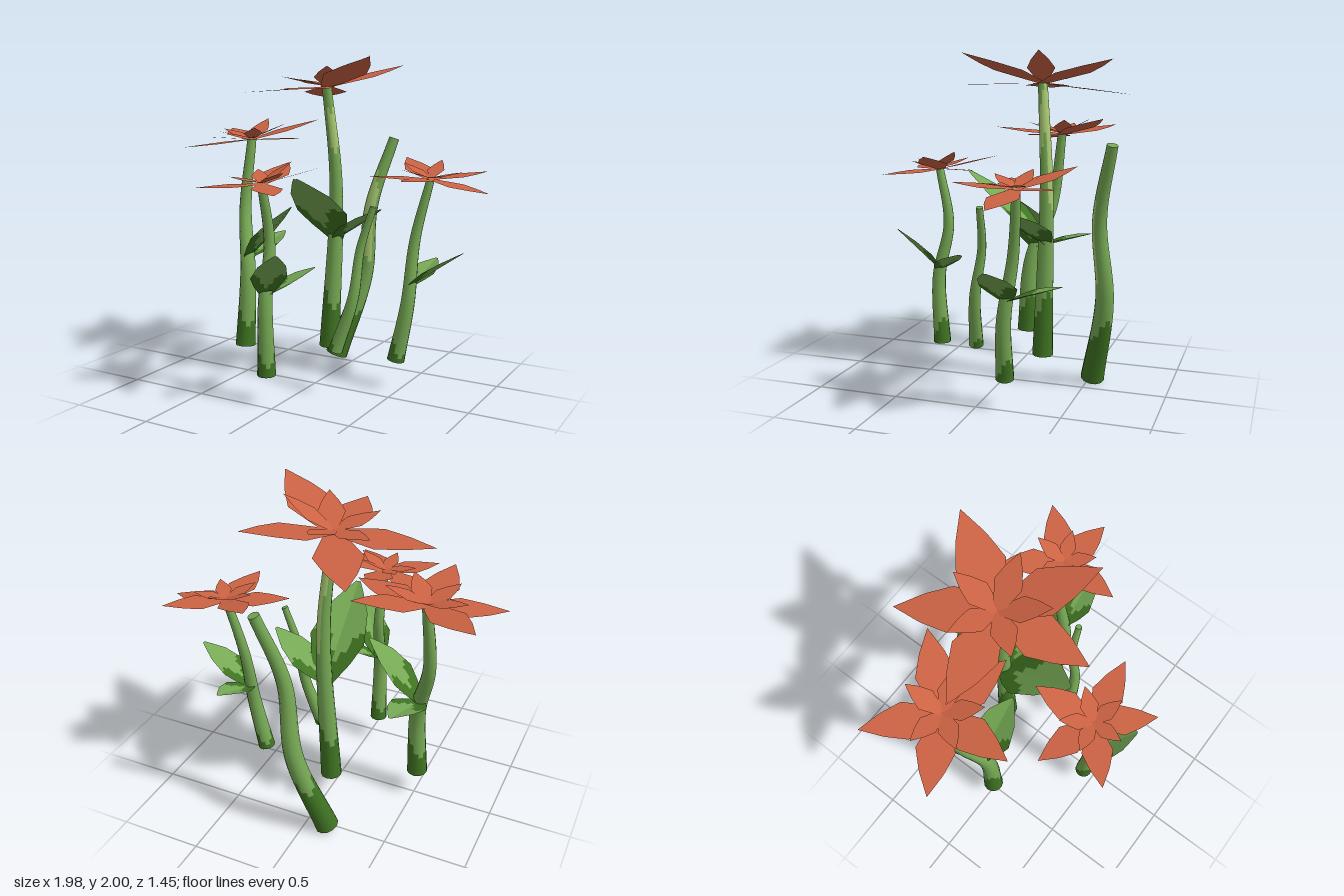
import * as THREE from 'three';

const V = (a) => new THREE.Vector3(...a);
const mat = (name, color) => {
  const m = new THREE.MeshStandardMaterial({ color, side: THREE.DoubleSide });
  m.name = name;
  return m;
};

// Surface through rows of points; pick(i, j) gives the material index of a quad
function sheet(rows, wrap, pick, flat) {
  const n = rows[0].length, quads = [[], [], []];
  for (let i = 0; i < rows.length - 1; i++)
    for (let j = 0; j < (wrap ? n : n - 1); j++) {
      const k = (j + 1) % n, a = i * n + j, b = i * n + k;
      quads[pick(i, j)].push(a, b, b + n, a, b + n, a + n);
    }
  let g = new THREE.BufferGeometry().setFromPoints(rows.flat());
  g.setIndex(quads.flat());
  let start = 0;
  quads.forEach((q, m) => {
    if (q.length) g.addGroup(start, q.length, m);
    start += q.length;
  });
  if (flat) g = g.toNonIndexed();
  g.computeVertexNormals();
  return g;
}

// Ragged edge of the painted zones
const jag = (j) => Math.round(1.6 * Math.sin(j * Math.PI / 3 + 0.4));

// Tapered, capped stem with a dark foot and pale patches [height, half height, first side, sides]
function stemGeometry(curve, radius, foot, patches) {
  const N = 40, S = 12;
  const ring = (t, r) => {
    const p = curve.getPointAt(t), T = curve.getTangentAt(t);
    const u = new THREE.Vector3(1, 0, 0).addScaledVector(T, -T.x).normalize();
    const w = T.clone().cross(u);
    return Array.from({ length: S }, (_, j) => {
      const a = (j / S) * Math.PI * 2;
      return p.clone().addScaledVector(u, r * Math.cos(a)).addScaledVector(w, r * Math.sin(a));
    });
  };
  const rows = [ring(0, 0), ring(0, radius)];
  for (let i = 0; i <= N; i++) rows.push(ring(i / N, radius * (1 - 0.55 * Math.pow(i / N, 0.85))));
  rows.push(ring(1, radius * 0.45), ring(1, 0));
  return sheet(rows, true, (i, j) => {
    const k = i - 2 - jag(j);
    if (k < foot * N) return 1;
    return patches.some(([t, half, first, sides]) =>
      (j - first + S) % S < sides && Math.abs(k - t * N) < half * N) ? 2 : 0;
  }, false);
}

// Half-width along a blade, as [position, share of the full width]
const PETAL = [[0, 0.3], [0.2, 0.62], [0.45, 1], [0.72, 0.62], [1, 0.01]];
const LEAF = [[0, 0.3], [0.2, 0.72], [0.4, 1], [0.7, 0.75], [0.9, 0.32], [1, 0.08]];
const widthAt = (keys, t) => {
  let i = 1;
  while (keys[i][0] < t) i++;
  const [a, b] = [keys[i - 1], keys[i]];
  return THREE.MathUtils.mapLinear(t, a[0], b[0], a[1], b[1]);
};

// Pointed blade from base to tip, its edges raised by the fold
function blade(base, tip, ratio, profile, fold, pick) {
  const steps = 20, cols = 9;
  const dir = tip.clone().sub(base), len = dir.length();
  dir.normalize();
  const side = dir.clone().cross(new THREE.Vector3(0, 1, 0)).normalize();
  const up = side.clone().cross(dir);
  const rows = Array.from({ length: steps + 1 }, (_, i) => {
    const w = (widthAt(profile, i / steps) * len * ratio) / 2;
    return Array.from({ length: cols }, (_, j) => {
      const s = (j / (cols - 1)) * 2 - 1;
      return base.clone().addScaledVector(dir, (i / steps) * len).addScaledVector(side, s * w)
        .addScaledVector(up, Math.abs(s) * w * fold);
    });
  });
  return sheet(rows, false, pick, true);
}

export function createModel() {
  const greens = [mat('stemGreen', 0x76a954), mat('darkGreen', 0x3f7322), mat('paleGreen', 0xaacb72)];
  const coral = [mat('petalCoral', 0xcb6243)];
  const model = new THREE.Group();
  const add = (parent, geometry, material, name) => {
    const mesh = new THREE.Mesh(geometry, material);
    mesh.name = name;
    parent.add(mesh);
  };

  // Five long petals given as [angle, rise], with short raised ones between them
  function addFlower(plant, centre, { length, petals }) {
    const tips = petals.map(([deg, rise]) => {
      const a = THREE.MathUtils.degToRad(deg);
      return new THREE.Vector3(length * Math.cos(a), rise, length * Math.sin(a)).add(centre);
    });
    const root = centre.clone().setY(centre.y + 0.008);
    tips.forEach((tip, i) => {
      add(plant, blade(centre, tip, 0.48, PETAL, 0, () => 0), coral, 'outerPetal');
      const inner = tip.clone().lerp(tips[(i + 1) % 5], 0.5).sub(centre).setLength(length * 0.52).add(centre);
      inner.y += length * 0.14;
      add(plant, blade(root, inner, 0.5, PETAL, 0, () => 0), coral, 'innerPetal');
    });
  }

  // Stem along its path, leaves from just below its middle, flower on its top
  function addPlant(name, { path, radius, foot, patches = [], leafTips = [], flower }) {
    const plant = new THREE.Group();
    plant.name = name;
    model.add(plant);
    const curve = new THREE.CatmullRomCurve3(path.map(V));
    add(plant, stemGeometry(curve, radius, foot, patches), greens, 'stem');
    for (const tip of leafTips)
      add(plant, blade(curve.getPointAt(0.42), V(tip), 0.53, LEAF, 0.2,
        (i, j) => (i < 7 + 1.5 * jag(j) ? 1 : 0)), greens, 'leaf');
    if (flower) addFlower(plant, curve.getPointAt(1), flower);
  }

  addPlant('leftPlant', {
    path: [[-0.51, 0.17, 0.01], [-0.505, 0.64, -0.02], [-0.6, 1.04, -0.14], [-0.585, 1.475, -0.2]],
    radius: 0.064, foot: 0.13,
    leafTips: [[-0.19, 1.08, -0.04], [-0.48, 0.85, -0.43]],
    flower: { length: 0.45, petals: [[12, 0.025], [91, 0.04], [152, -0.055], [219, 0.05], [312, 0.12]] },
  });
  addPlant('tallPlant', {
    path: [[-0.03, 0.17, -0.24], [0, 1.2, -0.265], [-0.045, 1.81, -0.225]],
    radius: 0.065, foot: 0.19, patches: [[0.86, 0.07, 9, 7], [0.7, 0.18, 1, 2]],
    leafTips: [[0, 1.29, 0.23], [0.36, 1.09, -0.17]],
    flower: { length: 0.56, petals: [[36, 0.17], [86, -0.01], [170, -0.035], [239, -0.07], [302, 0.135]] },
  });
  addPlant('frontPlant', {
    path: [[-0.07, 0.17, 0.44], [-0.065, 0.6, 0.455], [-0.075, 0.94, 0.39], [-0.085, 1.28, 0.45]],
    radius: 0.055, foot: 0.1,
    leafTips: [[0.13, 0.925, 0.65], [0.14, 0.79, 0.24]],
    flower: { length: 0.37, petals: [[47, -0.02], [136, -0.01], [199, -0.045], [263, 0.09], [352, 0.11]] },
  });
  addPlant('rightPlant', {
    path: [[0.47, 0.175, -0.165], [0.535, 0.53, -0.18], [0.55, 0.91, -0.24], [0.625, 1.275, -0.28]],
    radius: 0.054, foot: 0.06,
    leafTips: [[0.875, 0.87, -0.19], [0.58, 0.755, -0.52]],
    flower: { length: 0.375, petals: [[6, -0.06], [93, 0.02], [158, 0.015], [224, 0.1], [313, 0.035]] },
  });
  addPlant('backStem', {
    path: [[-0.135, 0.02, -0.53], [0.02, 0.56, -0.63], [0.08, 1.04, -0.605], [0.195, 1.48, -0.695]],
    radius: 0.073, foot: 0.24, patches: [[0.65, 0.17, 8, 3]],
  });
  addPlant('shortStem', {
    path: [[0.2, 0.265, 0.107], [0.3, 0.59, 0.076], [0.32, 0.88, 0.025], [0.395, 1.13, 0.01]],
    radius: 0.044, foot: 0.02,
  });
  return model;
}
